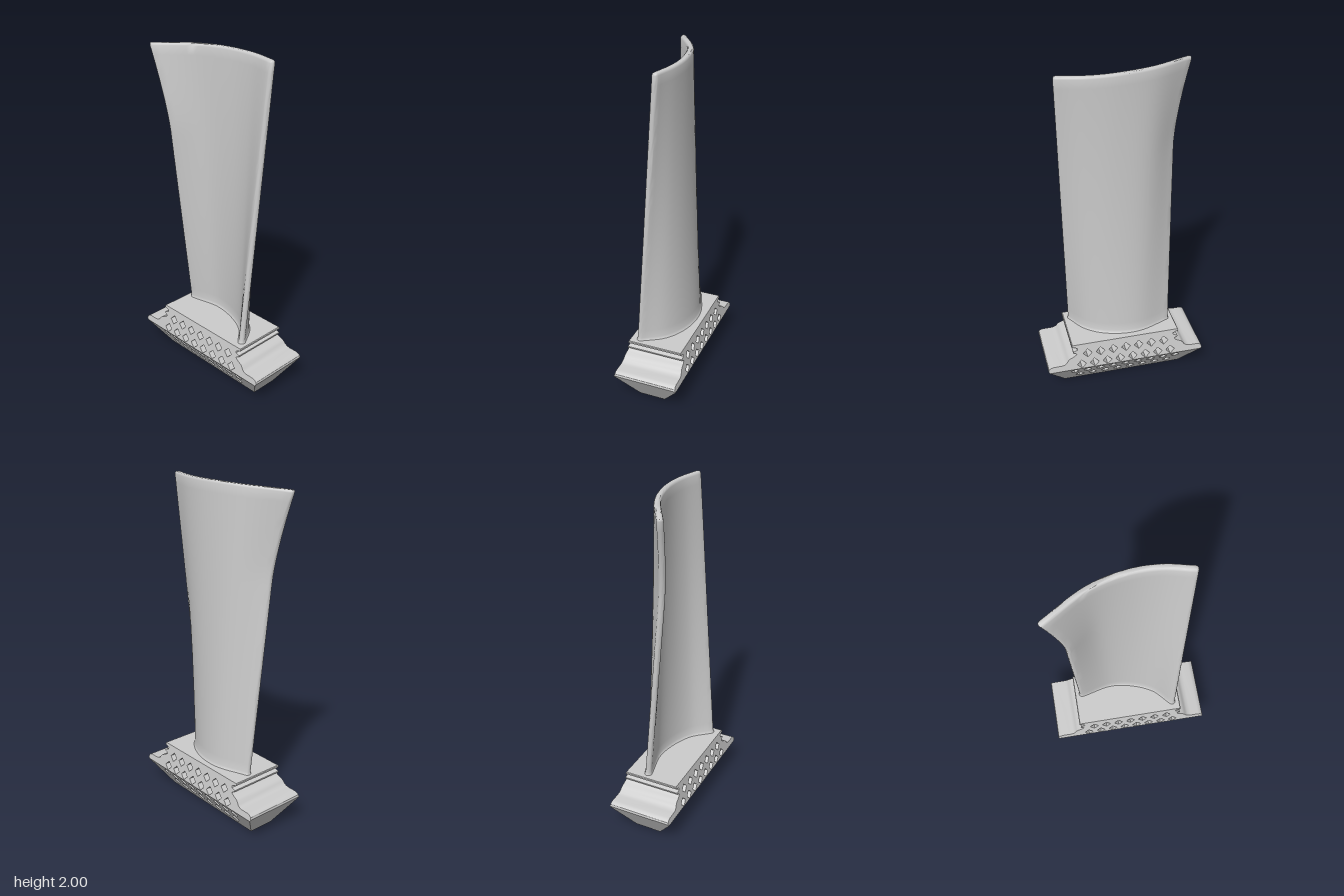
import * as THREE from 'three';
import { toCreasedNormals } from 'three/addons/utils/BufferGeometryUtils.js';

const material = new THREE.MeshStandardMaterial({ color: 0xcccccc });
const lerp = THREE.MathUtils.lerp;
const KINK = 0.17, DECK = 0.335, TIP = 2;

// Half width of the root block across x at height y
const halfWidth = y => y < KINK
  ? lerp(0.08, 0.195, y / KINK)
  : lerp(0.195, 0.165, (y - KINK) / (DECK - KINK));

// Root slab: mirrored z/y profile, pierced by rows of diamonds, tapered in x
function rootSlab(name, half, rows) {
  const mirrored = half.map(([z, y]) => [-z, y]).reverse();
  const shape = new THREE.Shape([...half, ...mirrored].map(([z, y]) => new THREE.Vector2(z, y)));
  const r = 0.028;
  for (const [y, count] of rows) {
    for (let i = 0; i < count; i++) {
      const z = (i - (count - 1) / 2) * 0.08;
      shape.holes.push(new THREE.Path([
        new THREE.Vector2(z - r, y), new THREE.Vector2(z, y + r),
        new THREE.Vector2(z + r, y), new THREE.Vector2(z, y - r),
      ]));
    }
  }
  const geo = new THREE.ExtrudeGeometry(shape, { depth: 2, bevelEnabled: false });
  geo.translate(0, 0, -1).rotateY(Math.PI / 2);
  const p = geo.attributes.position;
  for (let i = 0; i < p.count; i++) p.setX(i, p.getX(i) * halfWidth(p.getY(i)));
  const mesh = new THREE.Mesh(toCreasedNormals(geo, 0.6), material);
  mesh.name = name;
  return mesh;
}

// Centre lines [x, z] of the aerofoil, front edge to back edge
const rootLine = [[-0.108, 0.285], [0.005, 0.195], [0.07, 0.07], [0.092, -0.09], [0.04, -0.285]];
const tipLine = [[0.03, 0.335], [0.063, 0.18], [0.062, 0.02], [0.012, -0.18], [-0.122, -0.328]];

// Closed aerofoil section at height fraction t, with thickness factor k
function section(t, k) {
  const flare = 0.09 * Math.pow(Math.max(0, (t - 0.7) / 0.3), 1.5);
  const curve = new THREE.CatmullRomCurve3(rootLine.map(([x, z], i) => new THREE.Vector3(
    lerp(x, tipLine[i][0], t), 0, lerp(z, tipLine[i][1], t) - (i === 4 ? flare : 0))));
  const N = 28, points = [];
  const add = (s, a) => {
    const c = curve.getPoint(s), d = curve.getTangent(s);
    const h = k * lerp(0.018 + 0.014 * Math.sin(Math.PI * s), 0.018, t);
    const u = Math.cos(a) * h, v = Math.sin(a) * h;
    const droop = 0.02 * t * Math.pow(Math.max(0, 2 * s - 1), 2);
    points.push(new THREE.Vector3(c.x - d.z * u + d.x * v, lerp(DECK - 0.005, TIP, t) - droop, c.z + d.x * u + d.z * v));
  };
  for (let i = 0; i < N; i++) add(i / N, 0);
  for (let i = 0; i < 8; i++) add(1, Math.PI * i / 8);
  for (let i = N; i > 0; i--) add(i / N, Math.PI);
  for (let i = 0; i < 8; i++) add(0, Math.PI * (1 + i / 8));
  return points;
}

// Twisted blade: lofted sections with a root fillet and a rounded tip
function blade() {
  const levels = [[0, 1.4], [0.005, 1.15], [0.014, 1]];
  for (let i = 1; i <= 32; i++) levels.push([0.014 + 0.978 * i / 32, 1]);
  levels.push([0.997, 0.85], [1, 0.55]);
  const rings = levels.map(([t, k]) => section(t, k));
  const n = rings[0].length, index = [];
  for (let j = 0; j < rings.length - 1; j++) {
    for (let i = 0; i < n; i++) {
      const a = j * n + i, b = j * n + (i + 1) % n;
      index.push(a, b, b + n, a, b + n, a + n);
    }
  }
  const top = rings[rings.length - 1], base = (rings.length - 1) * n;
  const cap = THREE.ShapeUtils.triangulateShape(top.map(p => new THREE.Vector2(p.x, -p.z)), []);
  for (const f of cap) index.push(...f.map(i => base + i));
  const geo = new THREE.BufferGeometry().setFromPoints(rings.flat());
  geo.setIndex(index);
  const mesh = new THREE.Mesh(toCreasedNormals(geo, 0.9), material);
  mesh.name = 'blade';
  return mesh;
}

export function createModel() {
  const group = new THREE.Group();
  group.name = 'turbineBlade';
  // Tapered foot
  group.add(rootSlab('foot', [[0.37, 0], [0.48, KINK]], [[0.06, 8], [0.13, 9]]));
  // Shank with rounded ledges and seal grooves below the platform
  group.add(rootSlab('shankAndPlatform', [
    [0.48, KINK], [0.486, 0.18], [0.483, 0.193], [0.472, 0.203], [0.455, 0.208],
    [0.405, 0.208], [0.385, 0.212], [0.371, 0.222], [0.362, 0.236], [0.35, 0.247], [0.33, 0.255],
    [0.318, 0.262], [0.308, 0.27], [0.31, 0.277], [0.328, 0.283], [0.328, 0.291],
    [0.303, 0.299], [0.3, 0.31], [0.318, 0.319], [0.334, 0.322], [0.334, 0.331], [0.33, DECK],
  ], [[0.2, 8], [0.27, 7]]));
  group.add(blade());
  return group;
}
